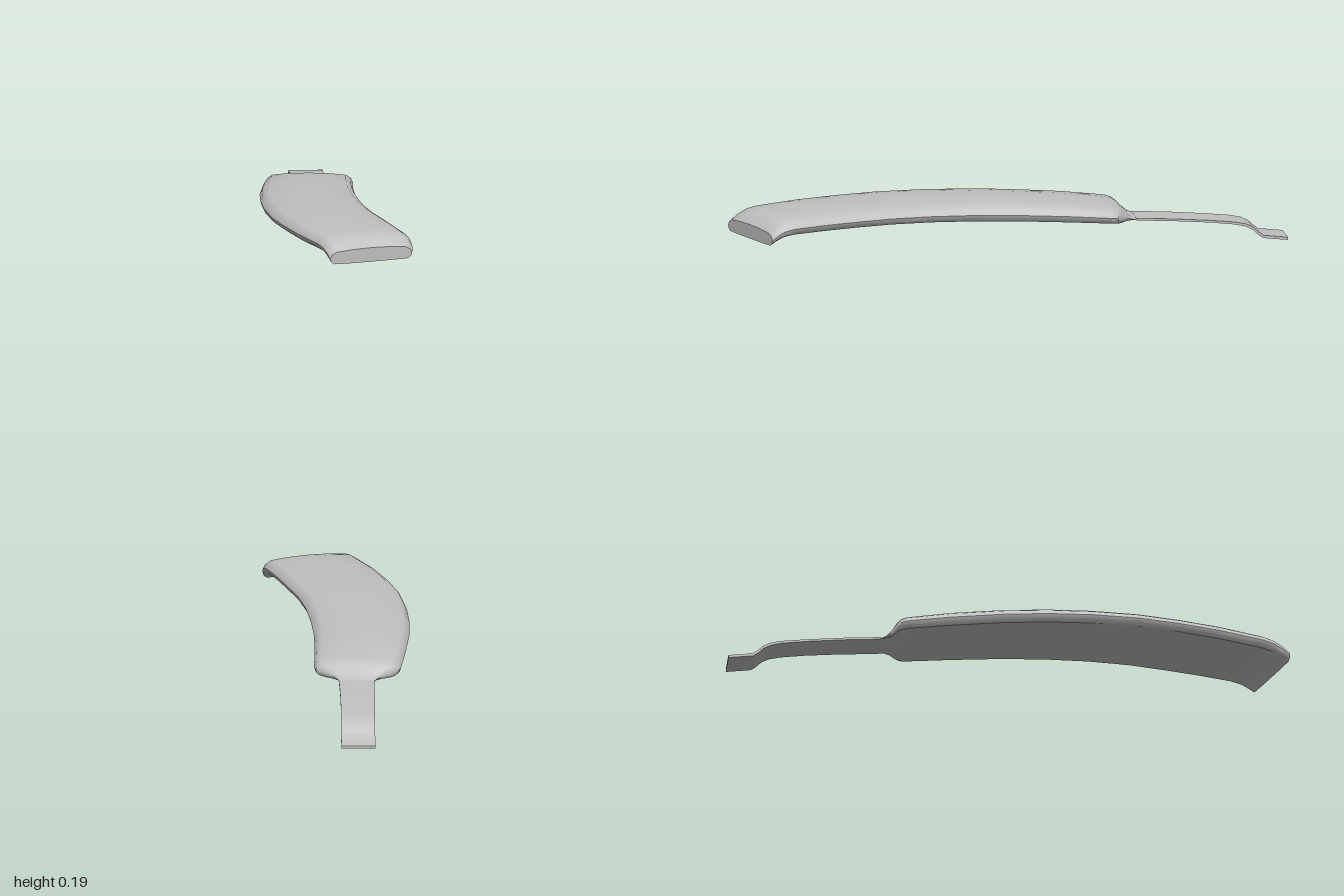
import * as THREE from 'three';
import { toCreasedNormals } from 'three/addons/utils/BufferGeometryUtils.js';

// Cross-sections, counter-clockwise: across (-1..1), height (0 bottom..1 top)
const bladeProfile = [
  [-0.9, 0.03], [-0.45, 0], [0, 0], [0.45, 0], [0.9, 0.03], [0.97, 0.18], [1, 0.42], [0.95, 0.68],
  [0.84, 0.87], [0.45, 0.97], [0, 1], [-0.45, 0.97], [-0.84, 0.87], [-0.95, 0.68], [-1, 0.42], [-0.97, 0.18],
];
const strapProfile = [[-1, 0], [1, 0], [1, 1], [-1, 1]];

// Stations from back to front: edge A x, z; edge B x, z; bottom y, top y
const strapStations = [
  [-0.34, -0.98, -0.22, -1.0, 0.0, 0.01],
  [-0.326, -0.892, -0.206, -0.912, 0.01, 0.02],
  [-0.323, -0.877, -0.203, -0.897, 0.02, 0.032],
  [-0.32, -0.855, -0.2, -0.875, 0.041, 0.052],
  [-0.316, -0.83, -0.196, -0.85, 0.054, 0.064],
  [-0.31, -0.79, -0.19, -0.81, 0.063, 0.072],
  [-0.296, -0.7, -0.176, -0.72, 0.073, 0.081],
  [-0.276, -0.57, -0.154, -0.59, 0.083, 0.091],
  [-0.255, -0.44, -0.13, -0.46, 0.09, 0.098],
];
const bladeStations = [
  [-0.255, -0.44, -0.13, -0.46, 0.09, 0.098],
  [-0.26, -0.42, -0.123, -0.442, 0.091, 0.106],
  [-0.282, -0.397, -0.1, -0.425, 0.092, 0.122],
  [-0.315, -0.377, -0.058, -0.408, 0.093, 0.138],
  [-0.33, -0.362, -0.037, -0.396, 0.094, 0.147],
  [-0.336, -0.34, -0.027, -0.373, 0.096, 0.153],
  [-0.329, -0.19, -0.005, -0.21, 0.105, 0.168],
  [-0.315, 0.0, 0.025, -0.03, 0.115, 0.179],
  [-0.292, 0.16, 0.059, 0.12, 0.122, 0.186],
  [-0.258, 0.32, 0.1, 0.27, 0.127, 0.19],
  [-0.21, 0.48, 0.15, 0.41, 0.13, 0.192],
  [-0.15, 0.62, 0.205, 0.53, 0.131, 0.192],
  [-0.08, 0.76, 0.257, 0.645, 0.13, 0.191],
  [0.01, 0.91, 0.31, 0.755, 0.128, 0.187],
  [0.032, 0.945, 0.329, 0.793, 0.122, 0.181],
  [0.05, 0.974, 0.338, 0.818, 0.109, 0.167],
  [0.065, 0.998, 0.34, 0.838, 0.095, 0.146],
];

// Joins the sections with quads and closes both ends
function loft(stations, profile, crease) {
  const n = profile.length;
  const positions = [];
  const index = [];
  for (const [ax, az, bx, bz, bottom, top] of stations) {
    for (const [u, v] of profile) {
      const t = (u + 1) / 2;
      positions.push(ax + (bx - ax) * t, bottom + (top - bottom) * v, az + (bz - az) * t);
    }
  }
  for (let i = 0; i < stations.length - 1; i++) {
    for (let j = 0; j < n; j++) {
      const a = i * n + j;
      const b = i * n + (j + 1) % n;
      index.push(a, b, a + n, b, b + n, a + n);
    }
  }
  const last = (stations.length - 1) * n;
  for (let j = 1; j < n - 1; j++) {
    index.push(0, j + 1, j);
    index.push(last, last + j, last + j + 1);
  }
  const geometry = new THREE.BufferGeometry();
  geometry.setAttribute('position', new THREE.Float32BufferAttribute(positions, 3));
  geometry.setIndex(index);
  return toCreasedNormals(geometry, crease);
}

export function createModel() {
  const group = new THREE.Group();
  group.name = 'curvedPaddle';
  const grey = new THREE.MeshStandardMaterial({ color: 0xc0c0c0 });
  grey.name = 'light grey';

  // Thick curved body with its turned-down front end
  const blade = new THREE.Mesh(loft(bladeStations, bladeProfile, 0.6), grey);
  blade.name = 'blade';

  // Thin strap that steps down to a flat foot
  const strap = new THREE.Mesh(loft(strapStations, strapProfile, 0.6), grey);
  strap.name = 'strap';

  group.add(blade, strap);
  return group;
}
